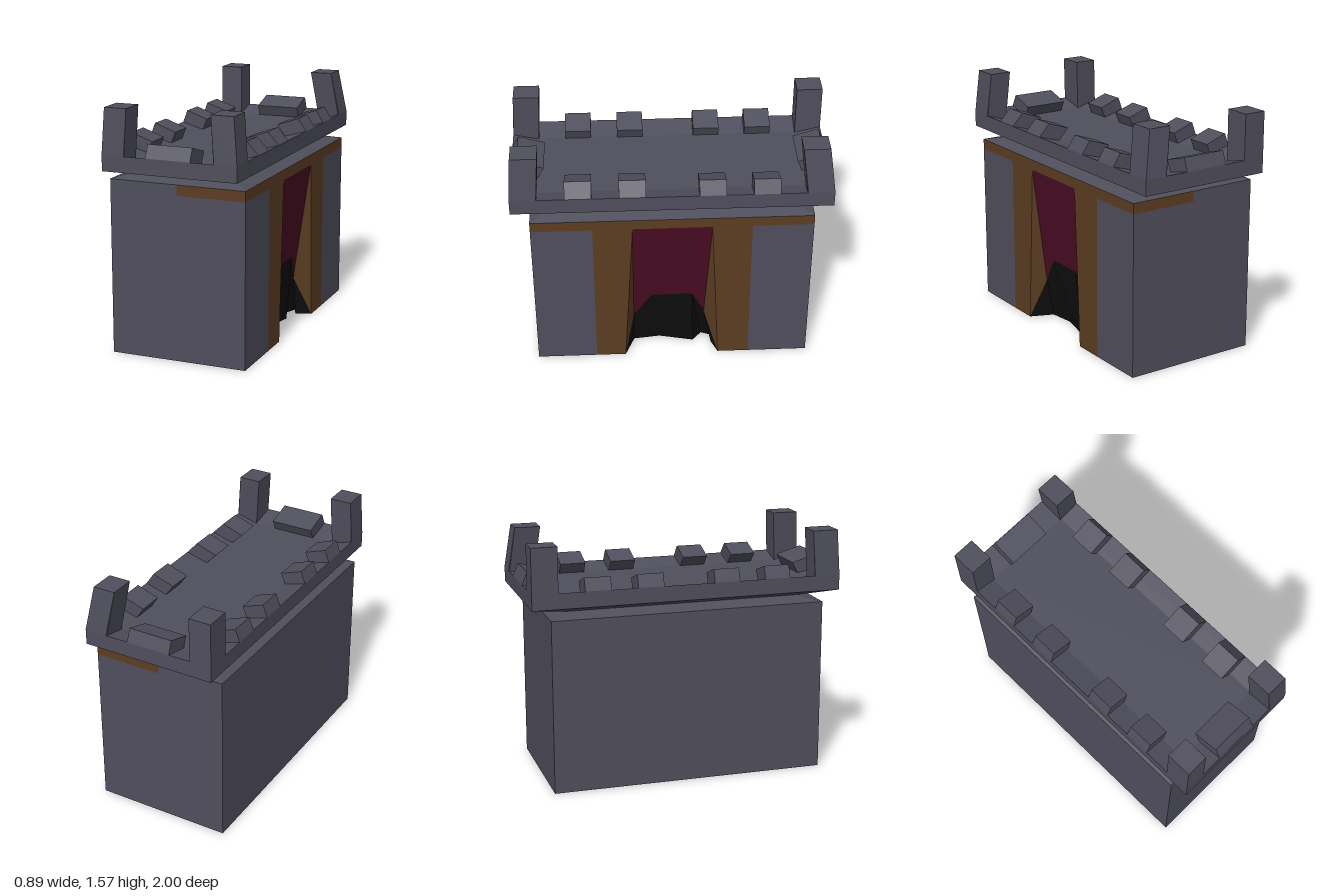
import * as THREE from 'three';
import { ConvexGeometry } from 'three/addons/geometries/ConvexGeometry.js';

const HX = 0.443, HZ = 0.885, TOP = 1.11, BAND = 1.043;
const RIM_X = 0.437, RIM_Z = 1.0, RIM_Y = 1.28, FLOOR_Y = 1.24;

function material(name, color, side = THREE.FrontSide) {
  const m = new THREE.MeshStandardMaterial({ color, side });
  m.name = name;
  return m;
}

// Flat-faced geometry from polygons, each split as a fan
function polygons(list) {
  const pos = [];
  for (const p of list)
    for (let i = 1; i < p.length - 1; i++) pos.push(...p[0], ...p[i], ...p[i + 1]);
  const g = new THREE.BufferGeometry();
  g.setAttribute('position', new THREE.Float32BufferAttribute(pos, 3));
  g.computeVertexNormals();
  return g;
}

// Stacked rectangles [halfX, halfZ, y] joined from bottom to top, capped above
function rectLoft(rings) {
  const loops = rings.map(([x, z, y]) => [[x, y, z], [x, y, -z], [-x, y, -z], [-x, y, z]]);
  const faces = [loops[loops.length - 1]];
  for (let r = 0; r < loops.length - 1; r++)
    for (let i = 0; i < 4; i++) {
      const j = (i + 1) % 4;
      faces.push([loops[r][i], loops[r][j], loops[r + 1][j], loops[r + 1][i]]);
    }
  return polygons(faces);
}

export function createModel() {
  const model = new THREE.Group();
  model.name = 'gatehouse';
  const stone = material('stone grey', 0x4f4e5c);
  const timber = material('timber brown', 0x5c3d22);
  const curtain = material('curtain maroon', 0x4a0d24);
  const dark = material('doorway black', 0x0e0e0e, THREE.DoubleSide);
  const add = (name, geometry, mat) => {
    const mesh = new THREE.Mesh(geometry, mat);
    mesh.name = name;
    model.add(mesh);
    return mesh;
  };

  // Points and rectangles on the gate side; d is the depth into the wall
  const side = (z, y, d = 0) => [HX - d, y, z];
  const sideRect = (z0, z1, y0, y1) => [side(z0, y0), side(z1, y0), side(z1, y1), side(z0, y1)];
  // Rectangles on the front (s = 1) and back (s = -1)
  const endRect = (s, x0, x1, y0, y1) => {
    const p = [[x0, y0, s * HZ], [x1, y0, s * HZ], [x1, y1, s * HZ], [x0, y1, s * HZ]];
    return s > 0 ? p : p.reverse();
  };

  // Stone walls
  const walls = [
    [[-HX, 0, -HZ], [-HX, 0, HZ], [-HX, TOP, HZ], [-HX, TOP, -HZ]],
    sideRect(HZ, 0.5, 0, BAND),
    sideRect(-0.5, -HZ, 0, BAND),
  ];
  const bands = [sideRect(HZ, -HZ, BAND, TOP)];
  for (const s of [1, -1]) {
    walls.push(endRect(s, -HX, HX, 0, BAND), endRect(s, -HX, 0, BAND, TOP));
    bands.push(endRect(s, 0, HX, BAND, TOP));
  }
  add('walls', polygons(walls), stone);
  add('timberBand', polygons(bands), timber);

  // Arch outline on the gate wall and the ground line of the hollow behind it
  const arch = [side(0.31, 0), side(0.25, 0.26, 0.1), side(0.13, 0.44, 0.08),
    side(-0.13, 0.44, 0.08), side(-0.21, 0.27, 0.1), side(-0.3, 0)];
  const hollow = [[0, 0.31, 0], [0, 0.37, 0.1], [1, 0.25, 0.15], [2, 0.08, 0.17], [3, -0.14, 0.12],
    [3, -0.2, 0.19], [4, -0.36, 0.125], [4, -0.26, 0.1], [5, -0.3, 0]];

  // Timber surround with a splayed reveal
  add('gateSurround', polygons([
    [side(0.5, 0), side(0.31, 0), side(0.38, BAND), side(0.5, BAND)],
    [side(-0.3, 0), side(-0.5, 0), side(-0.5, BAND), side(-0.25, BAND)],
    [side(0.31, 0), arch[1], side(0.25, BAND), side(0.38, BAND)],
    [arch[4], side(-0.3, 0), side(-0.25, BAND)],
  ]), timber);

  // Leaning curtain above the arch
  add('curtain', polygons([
    [side(0.25, BAND), arch[1], arch[2], arch[3], side(-0.25, BAND)],
    [arch[3], arch[4], side(-0.25, BAND)],
  ]), curtain);

  // Dark hollow
  const hollowFaces = [];
  for (let i = 0; i < hollow.length - 1; i++) {
    const [a, za, da] = hollow[i], [b, zb, db] = hollow[i + 1];
    hollowFaces.push([arch[a], side(za, 0, da), side(zb, 0, db)]);
    if (a !== b) hollowFaces.push([arch[a], side(zb, 0, db), arch[b]]);
  }
  add('doorway', polygons(hollowFaces), dark);

  // Underside, notched at the doorway
  const base = new THREE.Shape([
    [-HX, -HZ], [-HX, HZ], [HX, HZ],
    ...hollow.map(([, z, d]) => [HX - d, z]),
    [HX, -HZ],
  ].map(([x, z]) => new THREE.Vector2(x, z)));
  add('underside', new THREE.ShapeGeometry(base).rotateX(Math.PI / 2), stone);

  // Pinched neck, overhanging slab and dished roof
  add('parapet', rectLoft([
    [HX, HZ, TOP], [0.335, 0.76, 1.14], [RIM_X, RIM_Z, 1.18],
    [RIM_X, RIM_Z, RIM_Y], [0.3, 0.835, FLOOR_Y],
  ]), stone);

  // Merlons tilted inward: [distance in from the rim, height] swept along the rim
  const merlon = (name, along, from, to, rim, sign, lean, depth) => {
    const profile = [[0, RIM_Y], [lean, 1.36], [lean + depth, 1.31], [depth, FLOOR_Y - 0.005]];
    const pts = [];
    for (const t of [from, to])
      for (const [u, y] of profile) {
        const v = sign * (rim - u);
        pts.push(along === 'z' ? new THREE.Vector3(v, y, t) : new THREE.Vector3(t, y, v));
      }
    add(name, new ConvexGeometry(pts), stone);
  };
  [[-0.585, 0.05], [-0.25, 0.055], [0.245, 0.072], [0.58, 0.076]].forEach(([z, lean]) => {
    merlon('leftMerlon', 'z', z - 0.083, z + 0.083, RIM_X, 1, lean, 0.145);
    merlon('rightMerlon', 'z', z - 0.083, z + 0.083, RIM_X, -1, 0.03, 0.142);
  });
  merlon('frontMerlon', 'x', -0.15, 0.14, RIM_Z, 1, 0.04, 0.168);
  merlon('backMerlon', 'x', -0.15, 0.14, RIM_Z, -1, 0.033, 0.165);

  // Corner posts: side signs, then the outer corner of the top (each leans a little)
  for (const [sx, sz, tx, tz] of [
    [-1, 1, 0.422, 0.985], [1, 1, 0.41, 0.98], [-1, -1, 0.437, 1.0], [1, -1, 0.387, 0.962],
  ]) {
    const pts = [];
    for (const [x, z, y] of [[RIM_X, RIM_Z, FLOOR_Y], [RIM_X, RIM_Z, RIM_Y], [tx, tz, 1.567]])
      for (const u of [0, 0.145])
        for (const w of [0, 0.165]) pts.push(new THREE.Vector3(sx * (x - u), y, sz * (z - w)));
    add('cornerPost', new ConvexGeometry(pts), stone);
  }
  return model;
}
